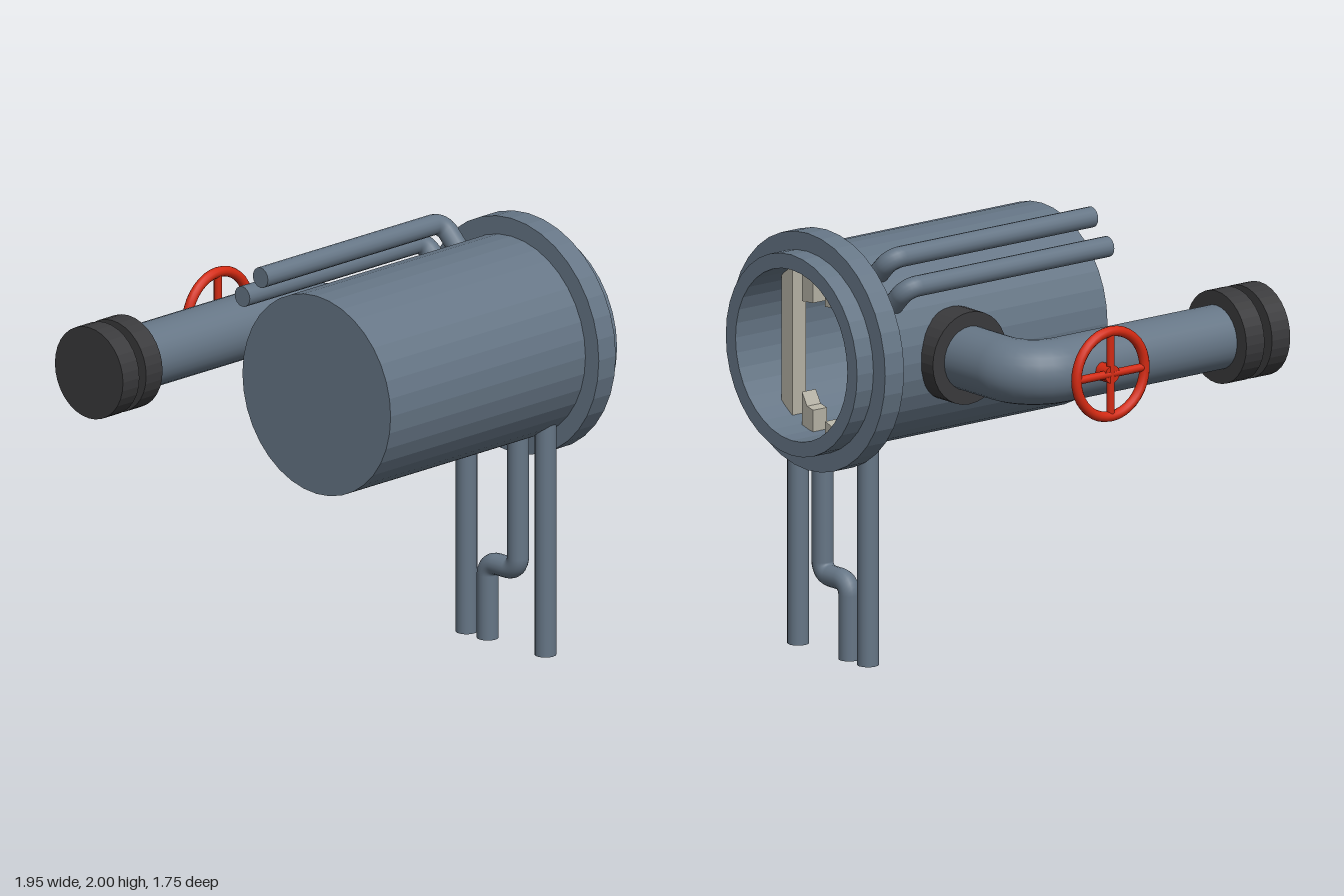
import * as THREE from 'three';

const mat = (color, flatShading = false) => new THREE.MeshStandardMaterial({ color, flatShading });
const V = (x, y, z) => new THREE.Vector3(x, y, z);

// Curve through given points with exact tangents, sampled point by point
class PointPath extends THREE.Curve {
  constructor(points, tangents) {
    super();
    this.points = points;
    this.tangents = tangents;
  }
  pick(list, t) { return list[Math.round(t * (list.length - 1))]; }
  getPoint(t, target = V(0, 0, 0)) { return target.copy(this.pick(this.points, t)); }
  getPointAt(t, target) { return this.getPoint(t, target); }
  getTangentAt(t, target = V(0, 0, 0)) { return target.copy(this.pick(this.tangents, t)); }
}

// Straight runs joined by round right-angle bends
function bentPath(corners, bend, steps = 8) {
  const points = [], tangents = [];
  const dir = i => corners[i + 1].clone().sub(corners[i]).normalize();
  const last = corners.length - 1;
  points.push(corners[0]);
  tangents.push(dir(0));
  for (let i = 1; i < last; i++) {
    const a = dir(i - 1), b = dir(i);
    const centre = corners[i].clone().addScaledVector(a, -bend).addScaledVector(b, bend);
    for (let k = 0; k <= steps; k++) {
      const t = (k / steps) * Math.PI / 2, c = Math.cos(t), s = Math.sin(t);
      points.push(centre.clone().addScaledVector(b, -bend * c).addScaledVector(a, bend * s));
      tangents.push(a.clone().multiplyScalar(c).addScaledVector(b, s));
    }
  }
  points.push(corners[last]);
  tangents.push(dir(last - 1));
  return new PointPath(points, tangents);
}

export function createModel() {
  const model = new THREE.Group();
  const steel = mat(0x667686), steelFlat = mat(0x667686, true);
  const dark = mat(0x3a3a3c, true), red = mat(0xd42a12), stone = mat(0xb4b1a4, true);
  const CY = 1.445, CZ = 0.32, PIPE_Z = -0.648;

  function add(name, geometry, material, parent = model) {
    const mesh = new THREE.Mesh(geometry, material);
    mesh.name = name;
    parent.add(mesh);
    return mesh;
  }

  // Capped pipe along a bent path
  function pipe(name, corners, radius, bend, sides) {
    const group = new THREE.Group();
    group.name = name;
    model.add(group);
    const path = bentPath(corners, bend);
    add(name + 'Tube', new THREE.TubeGeometry(path, path.points.length - 1, radius, sides), steel, group);
    for (const [t, sign] of [[0, -1], [1, 1]]) {
      const cap = add(name + 'Cap', new THREE.CircleGeometry(radius, sides), steel, group);
      cap.position.copy(path.getPointAt(t));
      cap.quaternion.setFromUnitVectors(V(0, 0, 1), path.getTangentAt(t).multiplyScalar(sign));
    }
  }

  // Solid of revolution about the x axis; profile points are [radius, x]
  function turned(name, profile, material, y, z) {
    const g = new THREE.LatheGeometry(profile.map(p => new THREE.Vector2(...p)), 36);
    add(name, g.rotateZ(-Math.PI / 2), material).position.set(0, y, z);
  }

  // Hollow barrel, closed at the rear, with a collar near the mouth
  turned('barrel', [[0, -0.49], [0.47, -0.49], [0.47, 0.975], [0.4, 0.975], [0.4, -0.45], [0, -0.45]],
    steelFlat, CY, CZ);
  turned('collar', [[0.46, 0.77], [0.555, 0.77], [0.555, 0.88], [0.46, 0.88]], steelFlat, CY, CZ);

  // Broken grate: outlines are [across, up] from the barrel axis, ends buried in the wall
  const wall = (u, sign) => [u, sign * Math.sqrt(0.43 ** 2 - u * u)];
  const bars = {
    wholeBar: [wall(-0.274, -1), wall(-0.195, -1), wall(-0.195, 1), wall(-0.274, 1)],
    upperStubA: [[-0.126, 0.2], [-0.046, 0.207], wall(-0.046, 1), wall(-0.126, 1)],
    lowerStubA: [wall(-0.126, -1), wall(-0.046, -1), [-0.046, -0.295], [-0.09, -0.285], [-0.126, -0.225]],
    upperStubB: [[0.039, 0.207], [0.118, 0.215], wall(0.118, 1), wall(0.039, 1)],
    lowerStubB: [wall(0.039, -1), wall(0.118, -1), [0.118, -0.355], [0.039, -0.33]],
    chippedBar: [wall(0.193, -1), wall(0.272, -1), wall(0.272, 1), wall(0.193, 1), [0.193, 0.165],
      [0.25, 0.09], [0.25, 0], [0.232, -0.11], [0.252, -0.2], [0.225, -0.33], [0.193, -0.34]],
  };
  for (const [name, outline] of Object.entries(bars)) {
    const shape = new THREE.Shape(outline.map(p => new THREE.Vector2(...p)));
    const g = new THREE.ExtrudeGeometry(shape, { depth: 0.08, bevelEnabled: false });
    add(name, g.rotateY(Math.PI / 2), stone).position.set(0.73, CY, CZ);
  }

  // Legs: two straight, one with a sideways step
  const LX = 0.717;
  pipe('frontLeg', [V(LX, 0, 0.588), V(LX, 1.13, 0.588)], 0.05, 0, 16);
  pipe('backLeg', [V(LX, 0, 0.088), V(LX, 1.1, 0.088)], 0.05, 0, 16);
  pipe('steppedLeg', [V(LX, 0, 0.222), V(LX, 0.362, 0.222), V(LX, 0.362, 0.414), V(LX, 1.04, 0.414)],
    0.05, 0.06, 16);

  // Thin pipes along the barrel that turn into its wall
  const inward = V(0, -1, 1).normalize();
  for (const [name, y, z] of [['upperThinPipe', 1.922, -0.038], ['lowerThinPipe', 1.807, -0.153]]) {
    const elbow = V(0.687, y, z);
    pipe(name, [V(-0.488, y, z), elbow, elbow.clone().addScaledVector(inward, 0.15)], 0.048, 0.06, 16);
  }

  // Large side pipe with an elbow into the back of the barrel
  pipe('sidePipe', [V(-0.95, CY, PIPE_Z), V(0.383, CY, PIPE_Z), V(0.383, CY, -0.12)], 0.149, 0.18, 28);

  // Dark flanges
  const flange = (name, length) => add(name, new THREE.CylinderGeometry(0.216, 0.216, length, 32), dark);
  for (const [name, x] of [['outerFlange', -0.922], ['innerFlange', -0.772]]) {
    const f = flange(name, 0.106);
    f.rotation.z = Math.PI / 2;
    f.position.set(x, CY, PIPE_Z);
  }
  const base = flange('baseFlange', 0.13);
  base.rotation.x = Math.PI / 2;
  base.position.set(0.383, CY, -0.167);

  // Valve handwheel
  const valve = new THREE.Group();
  valve.name = 'valveWheel';
  valve.position.set(0.067, CY, -0.852);
  model.add(valve);
  add('wheelRim', new THREE.TorusGeometry(0.199, 0.024, 12, 36), red, valve);
  for (let i = 0; i < 2; i++) {
    add('wheelSpoke', new THREE.CylinderGeometry(0.019, 0.019, 0.39, 10), red, valve).rotation.z = i * Math.PI / 2;
  }
  const stem = add('valveStem', new THREE.CylinderGeometry(0.042, 0.042, 0.09, 16), red, valve);
  stem.rotation.x = Math.PI / 2;
  stem.position.z = 0.03;

  return model;
}
